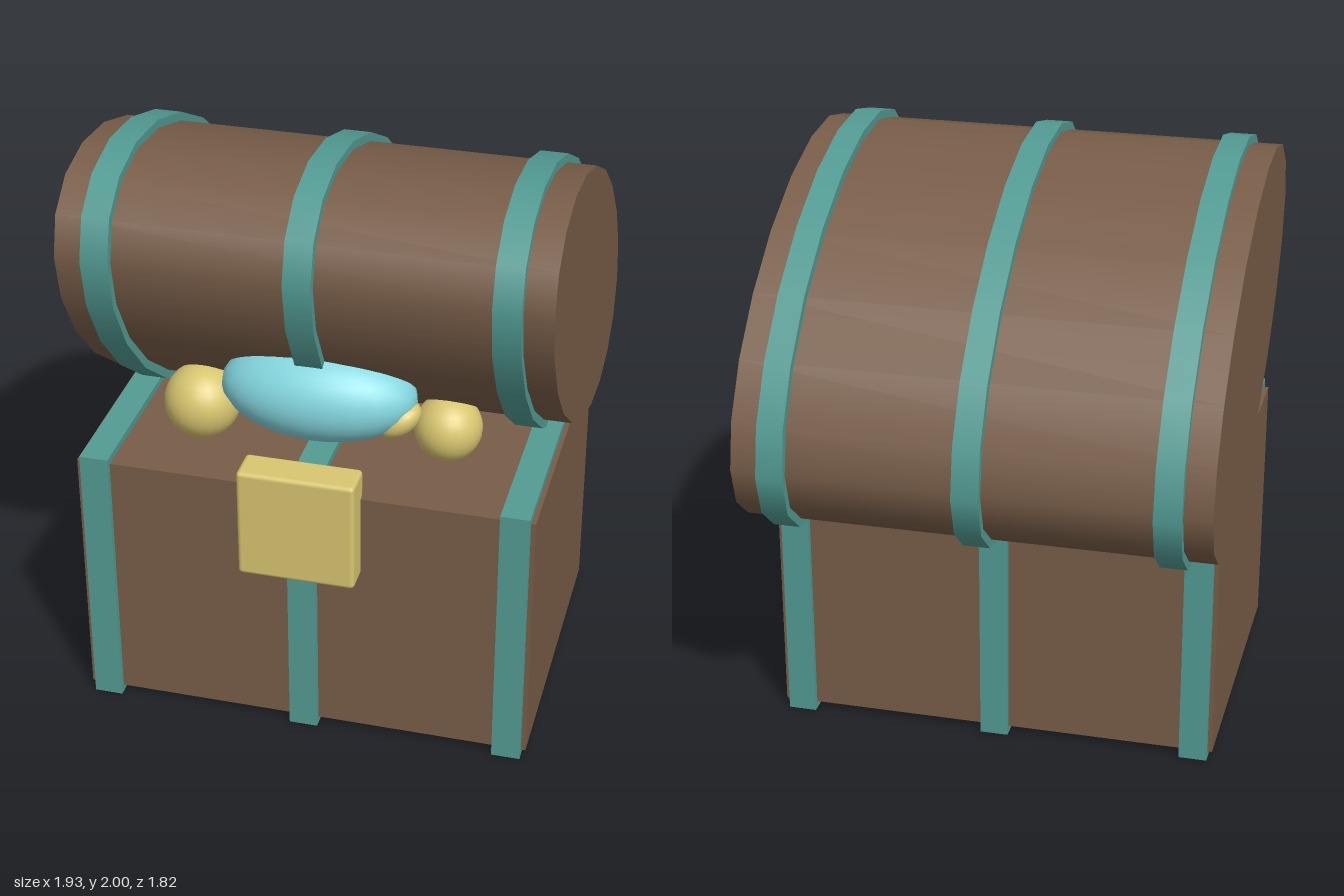
import * as THREE from 'three';
import { RoundedBoxGeometry } from 'three/addons/geometries/RoundedBoxGeometry.js';

const material = (name, color) => {
  const m = new THREE.MeshStandardMaterial({ color });
  m.name = name;
  return m;
};

export function createModel() {
  const wood = material('brown wood', 0x785d48);
  const metal = material('teal metal', 0x529b93);
  const gold = material('gold', 0xd8c670);
  const crystal = material('pale blue gem', 0x84d6de);

  const chest = new THREE.Group();
  chest.name = 'treasureChest';
  chest.rotation.y = THREE.MathUtils.degToRad(-15);

  const add = (parent, name, geometry, mat, x, y, z) => {
    const mesh = new THREE.Mesh(geometry, mat);
    mesh.name = name;
    mesh.position.set(x, y, z);
    parent.add(mesh);
    return mesh;
  };

  // Elliptical barrel lying along x; its long axis points along z
  const barrel = (length, grow) => new THREE.CylinderGeometry(1, 1, length, 20)
    .rotateZ(Math.PI / 2)
    .scale(1, 0.428 + grow, 0.816 + grow);

  // Body box with three straps wrapped around it
  add(chest, 'body', new THREE.BoxGeometry(1.55, 0.925, 1.085), wood, 0, 0.488, 0.178);
  for (const x of [-0.71, 0, 0.71]) {
    add(chest, 'bodyStrap', new THREE.BoxGeometry(0.098, 0.975, 1.125), metal, x, 0.4875, 0.178);
  }

  // Tilted lid with three bands
  const lid = new THREE.Group();
  lid.name = 'lid';
  lid.position.y = 1.4;
  lid.rotation.x = THREE.MathUtils.degToRad(-32.8);
  chest.add(lid);
  add(lid, 'lidBarrel', barrel(1.605, 0), wood, 0, 0, 0);
  for (const x of [-0.66, 0, 0.66]) {
    add(lid, 'lidBand', barrel(0.092, 0.03), metal, x, 0, 0);
  }

  // Lock plate
  add(chest, 'lock', new RoundedBoxGeometry(0.395, 0.395, 0.128, 2, 0.015), gold, 0, 0.848, 0.746);

  // Treasure spilling out under the lid
  const treasure = (name, mat, r, x, y, z, scale = [1, 1, 1]) => {
    const mesh = add(chest, name, new THREE.SphereGeometry(r, 24, 16), mat, x, y, z);
    mesh.scale.set(...scale);
    return mesh;
  };
  treasure('gem', crystal, 0.33, 0.009, 1.225, 0.525, [1, 0.5, 0.54]);
  treasure('leftNugget', gold, 0.115, 0.41, 1.05, 0.37);
  treasure('rightNugget', gold, 0.13, -0.418, 1.08, 0.45);
  treasure('smallNugget', gold, 0.085, 0.28, 1.165, 0.545, [1, 0.62, 0.85]).rotation.z = 0.6;

  const model = new THREE.Group();
  model.name = 'model';
  model.add(chest);
  return model;
}
